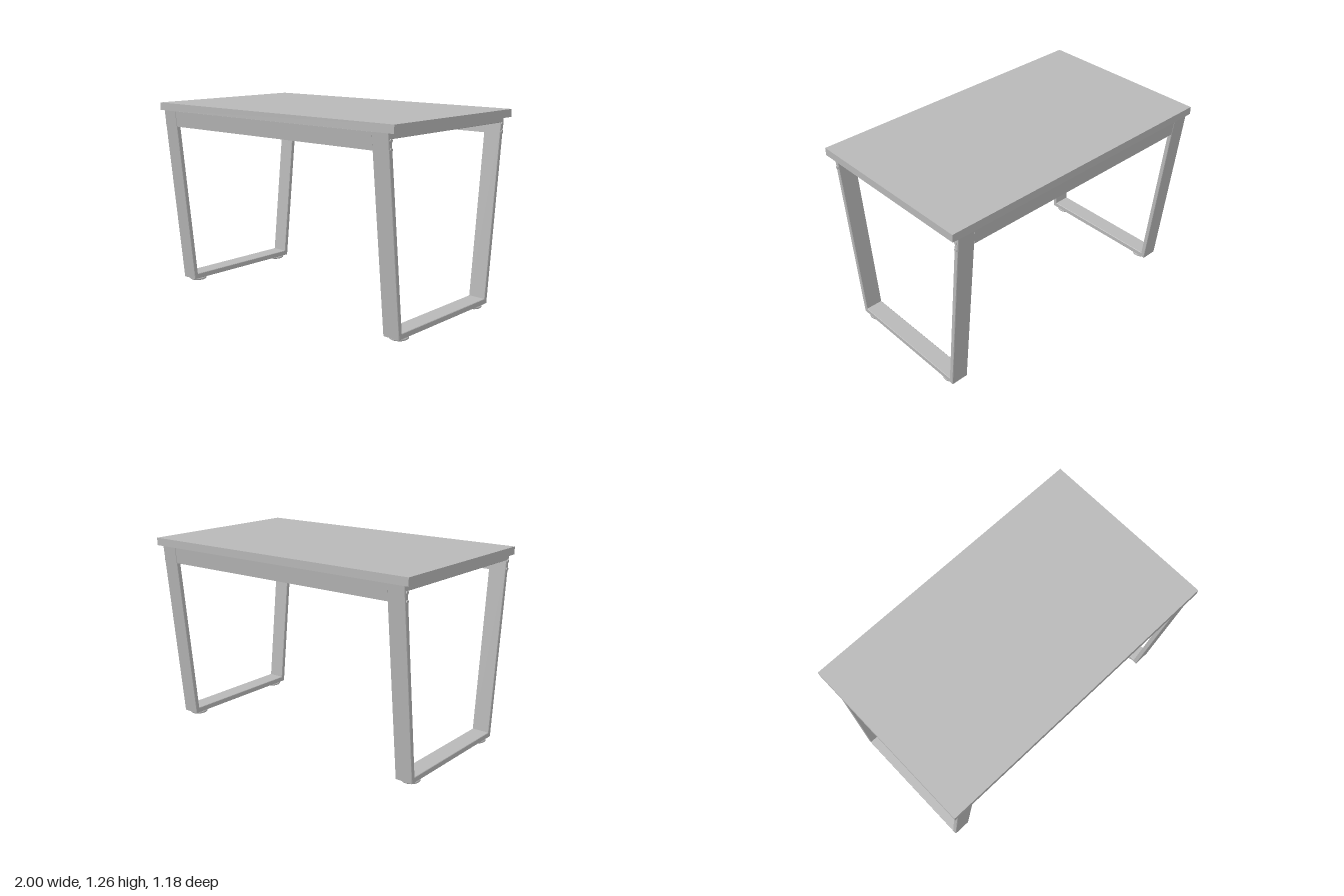
import * as THREE from 'three';

export function createModel() {
  const model = new THREE.Group();
  model.name = 'table';
  const grey = new THREE.MeshStandardMaterial({ color: 0xb8b8b8 });
  grey.name = 'grey';

  const add = (name, geometry, x = 0, y = 0, z = 0, parent = model) => {
    const mesh = new THREE.Mesh(geometry, grey);
    mesh.name = name;
    mesh.position.set(x, y, z);
    parent.add(mesh);
    return mesh;
  };
  const polygon = (points) => points.map(([x, y]) => new THREE.Vector2(x, y));

  // Extrudes a side profile (z, y) along x, centred on x = 0
  const extrudeAlongX = (shape, length, bevel = 0) => {
    const g = new THREE.ExtrudeGeometry(shape, {
      depth: length - 2 * bevel, bevelEnabled: bevel > 0, bevelSegments: 1,
      bevelSize: bevel, bevelThickness: bevel, bevelOffset: -bevel,
    });
    g.translate(0, 0, -(length - 2 * bevel) / 2);
    g.rotateY(-Math.PI / 2);
    return g;
  };

  // Tabletop slab
  add('tabletop', new THREE.BoxGeometry(2, 0.05, 1.184), 0, 1.235, 0);

  // Closed trapezoid leg frames, one at each end
  const legWidth = 0.117;
  const frame = new THREE.Shape(polygon([[-0.458, 0.018], [0.458, 0.018], [0.583, 1.21], [-0.583, 1.21]]));
  frame.holes.push(new THREE.Path(polygon([[-0.432, 0.053], [-0.55, 1.175], [0.55, 1.175], [0.432, 0.053]])));
  const frameGeometry = extrudeAlongX(frame, legWidth, 0.003);

  // Levelling foot: wide pad with a narrower collar
  const footGeometry = new THREE.LatheGeometry(polygon([
    [0, 0], [0.053, 0], [0.058, 0.004], [0.058, 0.011], [0.054, 0.014], [0.05, 0.014], [0.05, 0.019], [0, 0.019],
  ]), 32);
  const boltGeometry = new THREE.CylinderGeometry(0.01, 0.01, 0.012, 16).rotateZ(Math.PI / 2);
  const studGeometry = new THREE.CylinderGeometry(0.009, 0.009, 0.006, 16);

  for (const [side, x] of [[1, 0.8955], [-1, -0.9115]]) {
    const end = new THREE.Group();
    end.name = side > 0 ? 'leftLegAssembly' : 'rightLegAssembly';
    end.position.x = x;
    model.add(end);
    add('legFrame', frameGeometry, 0, 0, 0, end);
    for (const s of [1, -1]) {
      add('foot', footGeometry, 0, 0, s * 0.385, end);
      add('stud', studGeometry, 0, 1.173, s * 0.49, end);
      add('upperBolt', boltGeometry, side * legWidth / 2, 1.168, s * 0.561, end);
      add('lowerBolt', boltGeometry, side * legWidth / 2, 1.118, s * 0.559, end);
    }
  }

  // Long rails, leaning with the legs
  const railProfile = new THREE.Shape(polygon([[0.546, 1.105], [0.57, 1.105], [0.581, 1.208], [0.557, 1.208]]));
  const railGeometry = extrudeAlongX(railProfile, 1.69);
  add('frontRail', railGeometry, -0.008);
  add('backRail', railGeometry, -0.008).rotation.y = Math.PI;

  return model;
}
